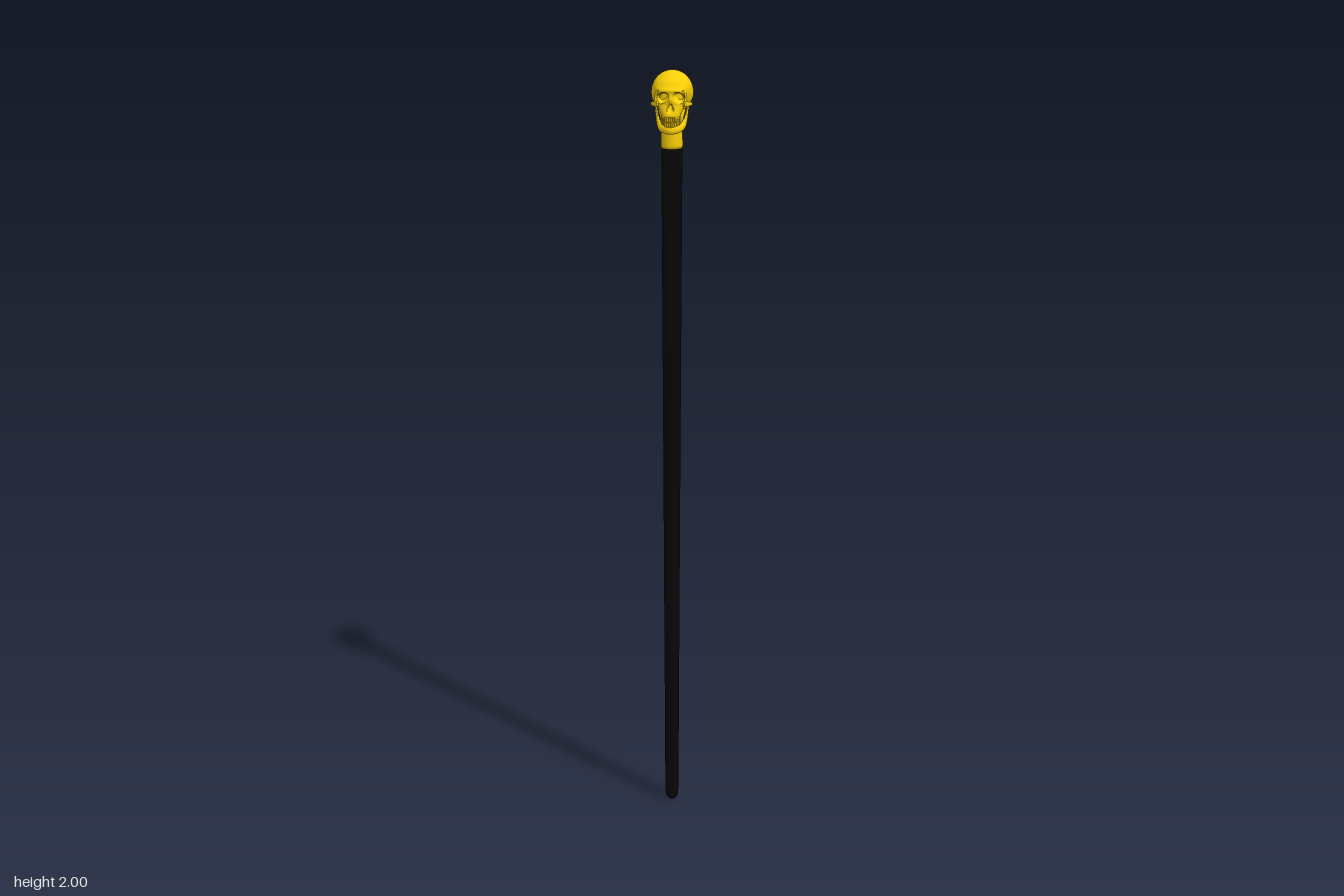
import * as THREE from 'three';
import { mergeVertices } from 'three/addons/utils/BufferGeometryUtils.js';

const gold = new THREE.MeshStandardMaterial({ color: 0xf8ce08 });
const black = new THREE.MeshStandardMaterial({ color: 0x060606 });
const { smoothstep, lerp } = THREE.MathUtils;
const AXIS_Z = 0.006;

// moves every vertex by a rule, then welds seams and smooths normals
function reshape(geometry, rule) {
  geometry.deleteAttribute('uv');
  geometry.deleteAttribute('normal');
  const g = mergeVertices(geometry, 1e-5);
  const p = g.attributes.position;
  const v = new THREE.Vector3();
  for (let i = 0; i < p.count; i++) {
    rule(v.fromBufferAttribute(p, i));
    p.setXYZ(i, v.x, v.y, v.z);
  }
  g.computeVertexNormals();
  return g;
}

// presses eye sockets and nose opening into the face, raises brow and nasal bone
function carveFace(v) {
  if (v.z < 0.012) return;
  const ax = Math.abs(v.x);
  const brow = Math.exp(-(((v.y - 1.955) / 0.006) ** 2)) * (1 - smoothstep(ax, 0.028, 0.042));
  const nasal = Math.exp(-(((v.y - 1.932) / 0.011) ** 2) - (v.x / 0.006) ** 2);
  const eye = Math.hypot((ax - 0.0205) / 0.0155, (v.y - 1.937 + (ax - 0.02) * 0.25) / 0.0135);
  const noseWidth = lerp(0.01, 0.004, smoothstep(v.y, 1.9, 1.925));
  const nose = Math.hypot(v.x / noseWidth, (v.y - 1.911) / 0.0125);
  v.z += 0.004 * brow + 0.005 * nasal;
  v.z -= 0.03 * (1 - smoothstep(eye, 0.6, 1.05)) + 0.018 * (1 - smoothstep(nose, 0.55, 1.05));
}

// sweeps an oval section along a curve; sizes = [height, thickness] at each point
function sweepBone(points, sizes, steps = 48, sides = 14) {
  const curve = new THREE.CatmullRomCurve3(points.map((p) => new THREE.Vector3(...p)));
  const pos = [], index = [];
  for (let i = 0; i <= steps; i++) {
    const t = i / steps;
    const c = curve.getPoint(t);
    const tangent = curve.getTangent(t);
    const out = new THREE.Vector3(c.x, 0, c.z - 0.005).normalize();
    const up = new THREE.Vector3().crossVectors(out, tangent).normalize();
    out.crossVectors(tangent, up);
    const f = t * (sizes.length - 1);
    const k = Math.min(Math.floor(f), sizes.length - 2);
    const cap = i === 0 || i === steps ? 0.01 : 1;
    const h = cap * lerp(sizes[k][0], sizes[k + 1][0], f - k);
    const w = cap * lerp(sizes[k][1], sizes[k + 1][1], f - k);
    for (let j = 0; j < sides; j++) {
      const a = (j / sides) * Math.PI * 2;
      const q = c.clone().addScaledVector(out, Math.cos(a) * w).addScaledVector(up, Math.sin(a) * h);
      pos.push(q.x, q.y, q.z);
      if (i < steps) {
        const n = (j + 1) % sides, r = i * sides;
        index.push(r + j, r + sides + j, r + n, r + n, r + sides + j, r + sides + n);
      }
    }
  }
  const g = new THREE.BufferGeometry();
  g.setAttribute('position', new THREE.Float32BufferAttribute(pos, 3));
  g.setIndex(index);
  g.computeVertexNormals();
  return g;
}

function add(parent, name, geometry, material) {
  const mesh = new THREE.Mesh(geometry, material);
  mesh.name = name;
  parent.add(mesh);
  return mesh;
}

const lathe = (profile, sides) =>
  new THREE.LatheGeometry(profile.map(([r, y]) => new THREE.Vector2(r, y)), sides);

// braincase: widest behind the middle, pinched at the temples
function buildCranium() {
  return reshape(new THREE.SphereGeometry(1, 128, 96), (v) => {
    const front = smoothstep(v.z, 0.1, 1);
    const temple = Math.exp(-(((v.z - 0.58) / 0.34) ** 2)) * smoothstep(-v.y, -0.7, 0.4);
    const x = v.x * 0.054 * (1 + 0.2 * front) * (1 - 0.16 * temple);
    const lower = smoothstep(-v.y, 0.1, 1);
    v.set(x * (1 - 0.1 * lower), 1.943 + v.y * 0.057, -0.0085 + v.z * 0.0665);
    carveFace(v);
  });
}

// upper jaw and cheeks: rows of [y, half width, front z]
function buildFace() {
  const rows = [
    [1.882, 0.021, 0.063], [1.893, 0.025, 0.065], [1.905, 0.03, 0.061],
    [1.918, 0.036, 0.057], [1.932, 0.037, 0.058], [1.948, 0.037, 0.058], [1.96, 0.032, 0.053],
  ];
  return reshape(new THREE.CylinderGeometry(1, 1, 1, 128, 64), (v) => {
    const f = (v.y + 0.5) * (rows.length - 1);
    const k = Math.min(Math.floor(f), rows.length - 2);
    const [y, w, z] = rows[k].map((a, i) => lerp(a, rows[k + 1][i], f - k));
    const square = (a) => Math.sign(a) * Math.abs(a) ** 0.8;
    const depth = (z - 0.008) / 2;
    v.set(square(v.x) * w, y, 0.008 + depth + square(v.z) * depth);
    carveFace(v);
  });
}

export function createModel() {
  const model = new THREE.Group();
  model.name = 'cane';

  // tapered shaft with rounded tip
  const shaft = add(model, 'shaft', lathe([
    [0, 0], [0.008, 0.002], [0.014, 0.008], [0.0168, 0.018], [0.018, 0.032],
    [0.0225, 0.95], [0.027, 1.806], [0, 1.806],
  ], 40), black);
  shaft.position.z = AXIS_Z;

  const skull = new THREE.Group();
  skull.name = 'skullHandle';
  model.add(skull);

  // neck socket joining skull and shaft
  const neck = add(skull, 'neck', lathe([
    [0, 1.804], [0.0272, 1.804], [0.028, 1.812], [0.0275, 1.835],
    [0.0275, 1.862], [0.03, 1.882], [0.035, 1.902], [0, 1.912],
  ], 40), gold);
  neck.position.z = AXIS_Z;

  add(skull, 'cranium', buildCranium(), gold);
  add(skull, 'face', buildFace(), gold);

  // lower jaw: hinge, corner, chin, corner, hinge
  const half = [[0.041, 1.912, 0.006], [0.037, 1.886, 0.01], [0.032, 1.868, 0.021], [0.022, 1.859, 0.051]];
  const mirrored = half.map(([x, y, z]) => [-x, y, z]).reverse();
  add(skull, 'lowerJaw', sweepBone(
    [...half, [0, 1.856, 0.065], ...mirrored],
    [[0.006, 0.003], [0.009, 0.004], [0.01, 0.005], [0.009, 0.005], [0.01, 0.006],
      [0.009, 0.005], [0.01, 0.005], [0.009, 0.004], [0.006, 0.003]], 72), gold);

  for (const side of [1, -1]) {
    const name = side > 0 ? 'left' : 'right';
    // cheek arch standing clear of the temple
    add(skull, name + 'CheekArch', sweepBone(
      [[0.032, 1.922, 0.05], [0.041, 1.92, 0.042], [0.049, 1.919, 0.029], [0.0515, 1.917, 0.014], [0.046, 1.916, -0.004]]
        .map(([x, y, z]) => [side * x, y, z]),
      [[0.008, 0.004], [0.007, 0.003], [0.0045, 0.002], [0.004, 0.002], [0.004, 0.003]]), gold);

    // raised bone at the outer rim of the eye
    add(skull, name + 'EyeRim', sweepBone(
      [[0.029, 1.955, 0.05], [0.036, 1.949, 0.045], [0.038, 1.936, 0.043], [0.036, 1.924, 0.046]]
        .map(([x, y, z]) => [side * x, y, z]),
      [[0.003, 0.003], [0.0035, 0.003], [0.0035, 0.003], [0.004, 0.004]]), gold);
  }

  // two rows of teeth along the dental arch
  for (const [row, y, reach] of [['upper', 1.883, 0.052], ['lower', 1.87, 0.05]]) {
    const teeth = new THREE.Group();
    teeth.name = row + 'Teeth';
    skull.add(teeth);
    for (let i = 0; i < 12; i++) {
      const a = ((i - 5.5) / 5.5) * 1.25;
      const tooth = add(teeth, row + 'Tooth', new THREE.CapsuleGeometry(0.0026, 0.008, 4, 10), gold);
      tooth.position.set(Math.sin(a) * 0.023, y, 0.018 + Math.cos(a) * reach);
      tooth.rotation.y = a;
    }
  }
  return model;
}
